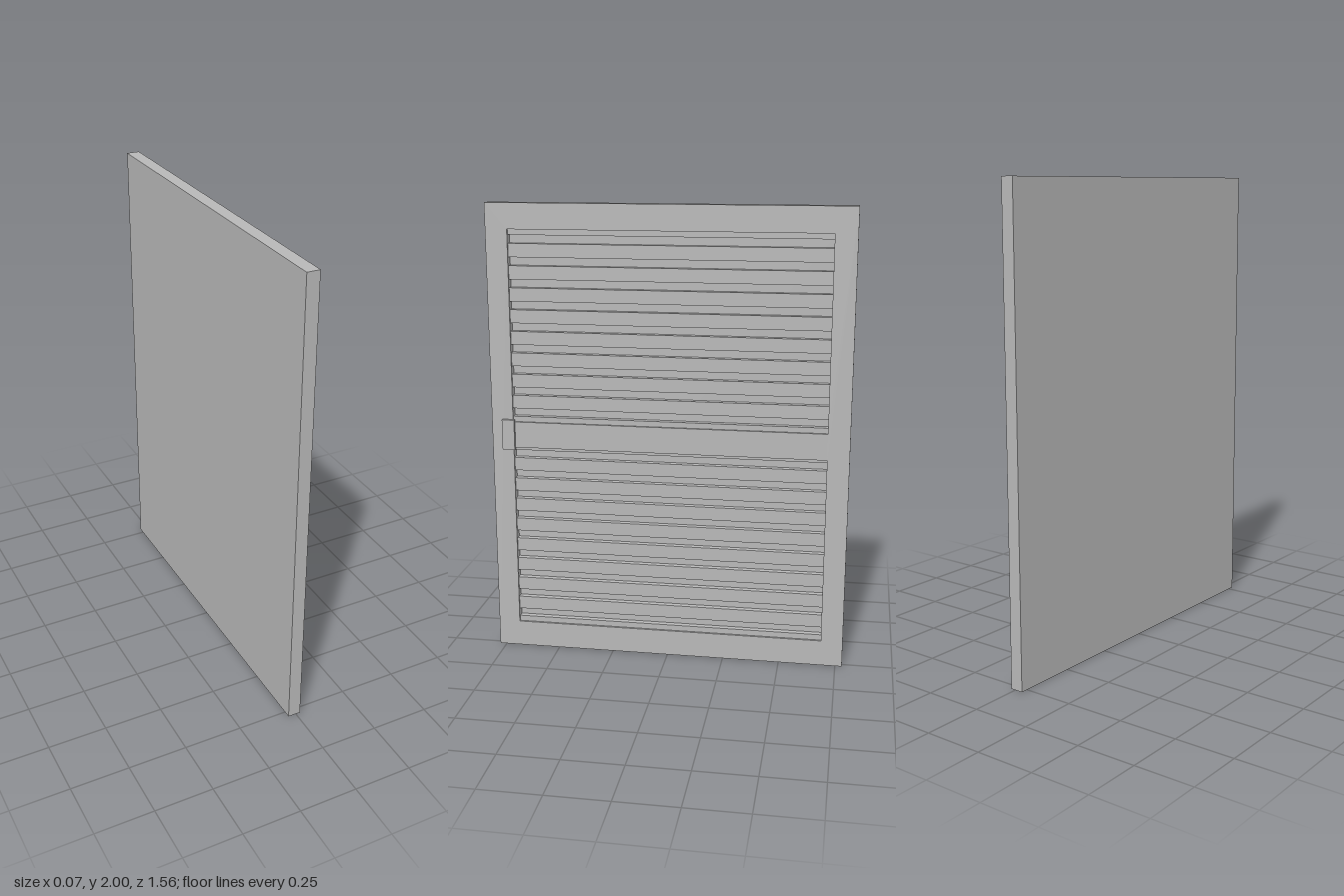
import * as THREE from 'three';

export function createModel() {
  const model = new THREE.Group();
  model.name = 'louveredDoor';
  const paint = new THREE.MeshStandardMaterial({ color: 0xb8b8b8 });
  paint.name = 'grey paint';

  const halfWidth = 0.78, backX = -0.035, panelX = -0.016, frontX = 0.02, slatX = 0.011;

  function add(name, geometry) {
    const mesh = new THREE.Mesh(geometry, paint);
    mesh.name = name;
    model.add(mesh);
    return mesh;
  }

  // Box given by its limits on each axis
  function box(name, x0, x1, y0, y1, z0, z1) {
    add(name, new THREE.BoxGeometry(x1 - x0, y1 - y0, z1 - z0))
      .position.set((x0 + x1) / 2, (y0 + y1) / 2, (z0 + z1) / 2);
  }

  // Rectangle outline in the (z, y) plane
  function rectangle(path, half, y0, y1) {
    path.moveTo(-half, y0);
    path.lineTo(half, y0);
    path.lineTo(half, y1);
    path.lineTo(-half, y1);
    path.closePath();
    return path;
  }

  // Solid backing panel
  box('backPanel', backX, panelX, 0, 2, -halfWidth, halfWidth);

  // Front frame with two openings and a middle rail
  const outline = rectangle(new THREE.Shape(), halfWidth, 0, 2);
  for (const [y0, y1] of [[0.115, 0.94], [1.055, 1.89]]) {
    outline.holes.push(rectangle(new THREE.Path(), 0.685, y0, y1));
  }
  const frame = add('frame', new THREE.ExtrudeGeometry(outline, {
    depth: frontX - panelX, bevelEnabled: false,
  }));
  frame.rotation.y = Math.PI / 2;
  frame.position.x = panelX;

  // Evenly spaced slats; the end ones run behind the rails
  for (let i = 0; i < 20; i++) {
    const y = 0.111 + i * 0.0939;
    box('slat', panelX, slatX, y - 0.029, y + 0.029, -0.685, 0.685);
  }

  // Handle plate on the stile
  box('handle', frontX, 0.035, 0.931, 1.066, 0.677, 0.732);

  return model;
}
